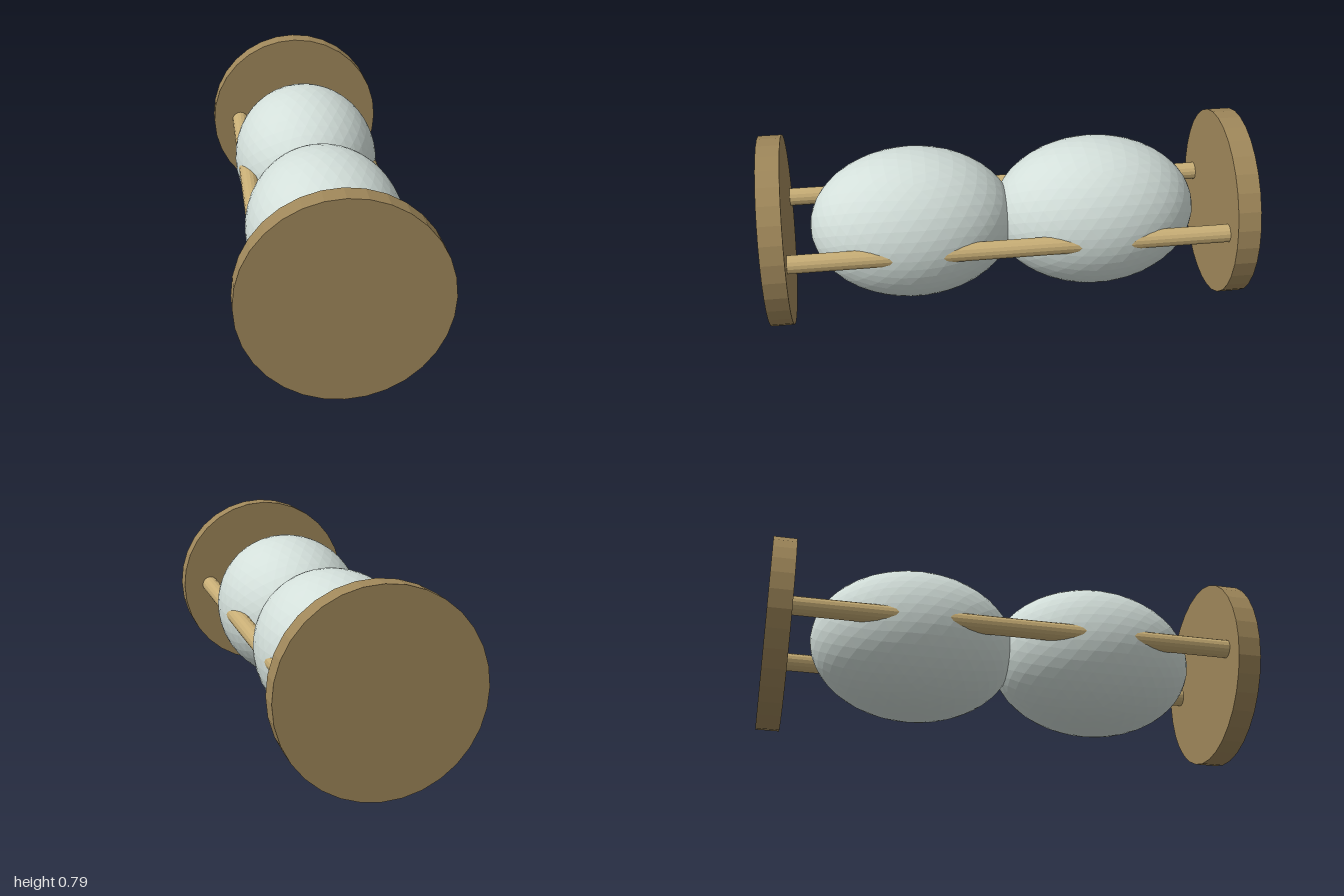
import * as THREE from 'three';

const material = (color) => new THREE.MeshStandardMaterial({ color, flatShading: true });

export function createModel() {
  const model = new THREE.Group();
  model.name = 'hourglass';
  const wood = material(0x9f875a);
  const paleWood = material(0xc8ae76);
  const glass = material(0xd3dfda);
  const R = 0.397; // end disc radius, also the height of the axis

  const add = (name, geometry, mat, x, z) => {
    const mesh = new THREE.Mesh(geometry, mat);
    mesh.name = name;
    mesh.position.set(x, R, z);
    model.add(mesh);
  };

  const disc = new THREE.CylinderGeometry(R, R, 0.095, 32).rotateX(Math.PI / 2);
  const bulb = new THREE.IcosahedronGeometry(1, 7).scale(0.318, 0.318, 0.43);
  const rod = new THREE.CylinderGeometry(0.038, 0.038, 1.82, 16).rotateX(Math.PI / 2);

  // Mirrored end discs, overlapping glass bulbs and side rods
  for (const s of [1, -1]) {
    const end = s > 0 ? 'front' : 'back';
    add(end + 'Disc', disc, wood, 0, s * 0.9525);
    add(end + 'Bulb', bulb, glass, 0, s * 0.385);
    add(s > 0 ? 'leftRod' : 'rightRod', rod, paleWood, s * 0.27, 0);
  }
  return model;
}
